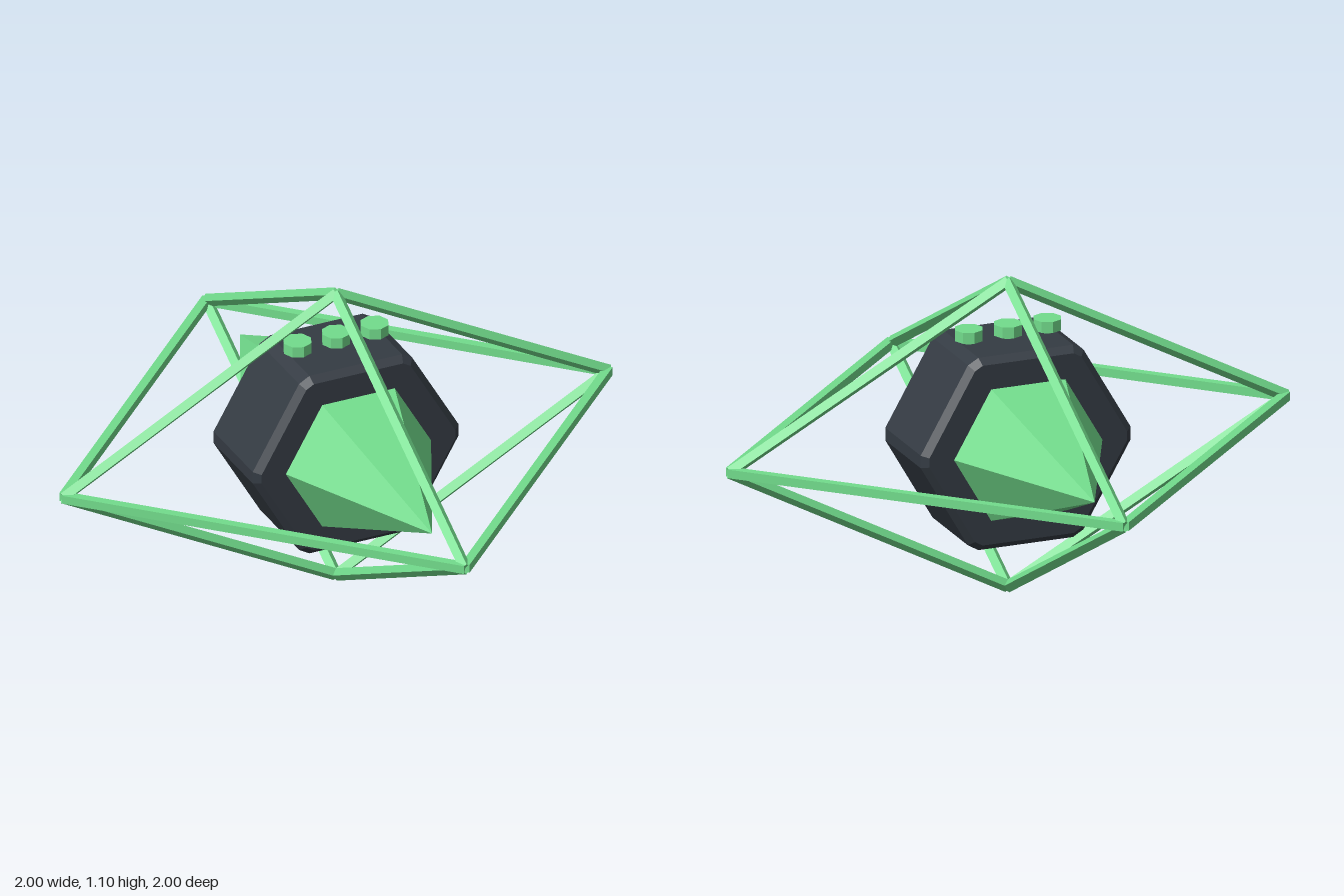
import * as THREE from 'three';

const CENTRE_Y = 0.548;

export function createModel() {
  const model = new THREE.Group();
  model.name = 'framedCore';

  const green = new THREE.MeshStandardMaterial({ color: 0x72dc8c, flatShading: true });
  green.name = 'green';
  const dark = new THREE.MeshStandardMaterial({ color: 0x343b43, flatShading: true });
  dark.name = 'dark slate';

  const add = (parent, name, geometry, material) => {
    const mesh = new THREE.Mesh(geometry, material);
    mesh.name = name;
    parent.add(mesh);
    return mesh;
  };

  // Hexagonal body: clipped corners and a narrow bevel around both faces
  const radius = 0.386, clip = 0.025, bevel = 0.022, halfDepth = 0.172;
  const corners = Array.from({ length: 6 }, (_, i) =>
    new THREE.Vector2(Math.cos(i * Math.PI / 3), Math.sin(i * Math.PI / 3)).multiplyScalar(radius));
  const outline = [];
  corners.forEach((corner, i) => {
    for (const other of [corners[(i + 5) % 6], corners[(i + 1) % 6]]) {
      outline.push(corner.clone().lerp(other, clip / radius));
    }
  });
  const bodyGeometry = new THREE.ExtrudeGeometry(new THREE.Shape(outline), {
    depth: 2 * (halfDepth - bevel),
    bevelEnabled: true, bevelSegments: 1,
    bevelSize: bevel, bevelThickness: bevel, bevelOffset: -bevel,
  });
  bodyGeometry.translate(0, 0, -(halfDepth - bevel));
  add(model, 'body', bodyGeometry, dark).position.y = CENTRE_Y + 0.002;

  // Six-sided spikes on the front and back faces
  const spikeBase = 0.15, spikeTip = 0.735;
  for (const side of [1, -1]) {
    const spike = new THREE.ConeGeometry(0.274, spikeTip - spikeBase, 6);
    spike.rotateY(Math.PI / 6);
    spike.rotateX(side * Math.PI / 2);
    add(model, side > 0 ? 'frontSpike' : 'backSpike', spike, green)
      .position.set(0, CENTRE_Y, side * (spikeBase + spikeTip) / 2);
  }

  // Three buttons on short stems along the top
  const buttons = new THREE.Group();
  buttons.name = 'buttons';
  model.add(buttons);
  for (const x of [-0.14, 0, 0.14]) {
    add(buttons, 'button', new THREE.CylinderGeometry(0.049, 0.049, 0.038, 8), green)
      .position.set(x, 0.915, 0);
    add(buttons, 'buttonStem', new THREE.CylinderGeometry(0.02, 0.02, 0.04, 8), green)
      .position.set(x, 0.885, 0);
  }

  // Octahedral cage of four-sided struts
  const cage = new THREE.Group();
  cage.name = 'cage';
  cage.position.y = CENTRE_Y;
  model.add(cage);
  const strut = (from, to) => {
    const span = to.clone().sub(from);
    const mesh = add(cage, 'strut', new THREE.CylinderGeometry(0.021, 0.021, span.length(), 4), green);
    mesh.position.copy(from).lerp(to, 0.5);
    mesh.quaternion.setFromUnitVectors(new THREE.Vector3(0, 1, 0), span.normalize());
  };
  const reach = 0.989, height = 0.529;
  const top = new THREE.Vector3(0, height, 0);
  const bottom = new THREE.Vector3(0, -height, 0);
  const ring = [[1, 0], [0, 1], [-1, 0], [0, -1]]
    .map(([x, z]) => new THREE.Vector3(x * reach, 0, z * reach));
  ring.forEach((point, i) => {
    strut(point, ring[(i + 1) % 4]);
    strut(point, top);
    strut(bottom, point);
  });

  return model;
}
